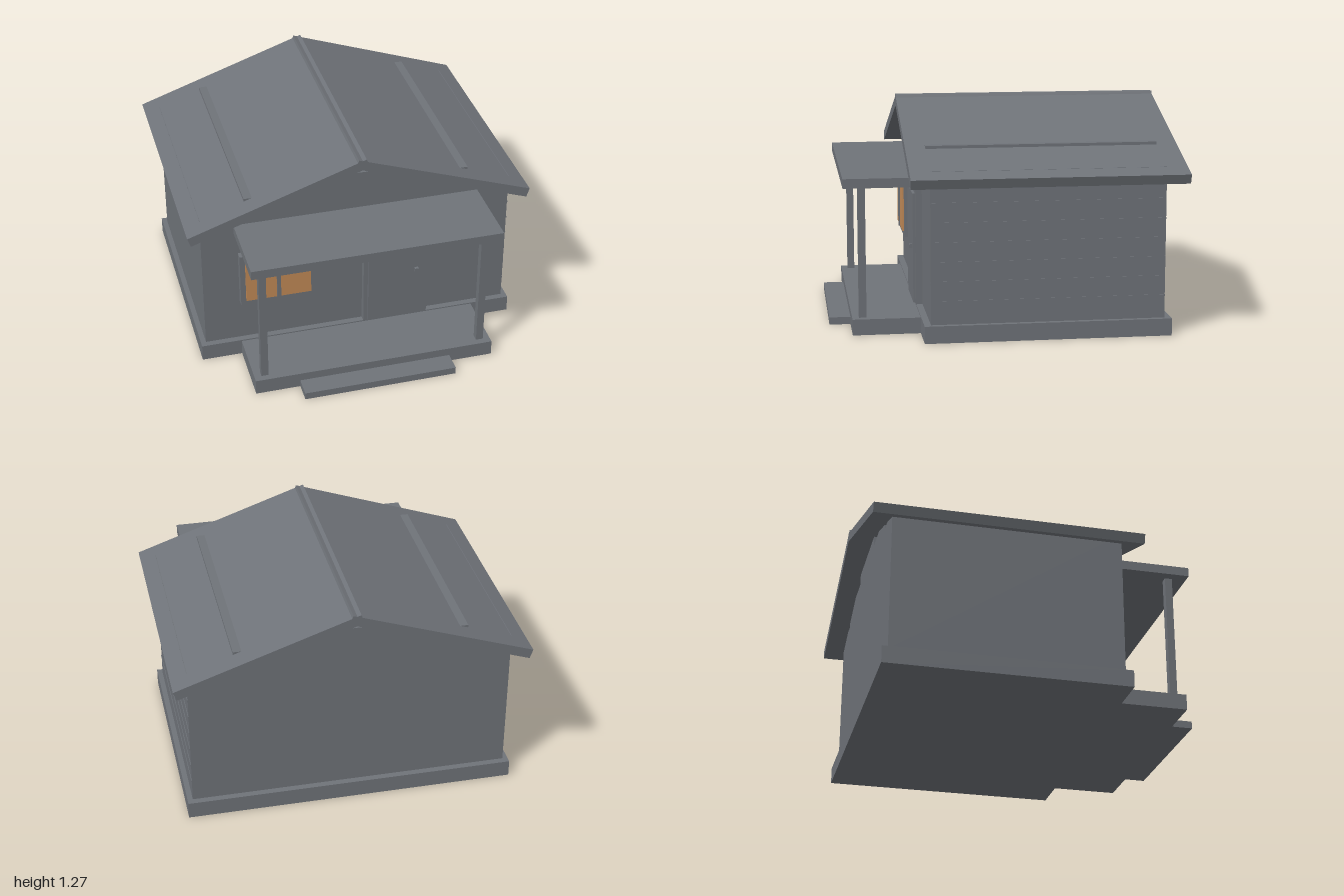
import * as THREE from 'three';

export function createModel() {
  const cabin = new THREE.Group();
  cabin.name = 'cabin';
  const grey = new THREE.MeshStandardMaterial({ color: 0x6f7379 });
  grey.name = 'weathered grey';
  const amber = new THREE.MeshStandardMaterial({ color: 0xc48c58 });
  amber.name = 'amber glass';

  // Box given by its limits on each axis
  function box(name, [x0, x1], [y0, y1], [z0, z1], material = grey) {
    const mesh = new THREE.Mesh(new THREE.BoxGeometry(x1 - x0, y1 - y0, z1 - z0), material);
    mesh.position.set((x0 + x1) / 2, (y0 + y1) / 2, (z0 + z1) / 2);
    mesh.name = name;
    cabin.add(mesh);
    return mesh;
  }

  // Foundation, porch deck and step
  box('foundation', [-0.94, 0.94], [0, 0.097], [-0.9, 0.48]);
  box('porchDeck', [-0.705, 0.705], [0, 0.09], [0.48, 0.86]);
  box('porchStep', [-0.447, 0.447], [0, 0.042], [0.86, 0.98]);

  // Walls and the stepped gable tiers under the roof
  const depth = [-0.863, 0.443];
  box('walls', [-0.91, 0.91], [0.097, 0.947], depth);
  box('lowerGable', [-0.655, 0.655], [0.947, 1.05], depth);
  box('upperGable', [-0.255, 0.255], [1.05, 1.115], depth);

  // Thin siding ledges on the left wall
  for (let i = 0; i < 6; i++) {
    const y = 0.225 + i * 0.109;
    box('sidingLedge', [0.91, 0.913], [y - 0.005, y + 0.005], depth);
  }

  // Roof slabs, which cross slightly at the ridge
  const angle = Math.atan2(0.352, 1.022), thickness = 0.056;
  for (const side of [-1, 1]) {
    const slab = new THREE.Mesh(new THREE.BoxGeometry(1.081, thickness, 1.535), grey);
    slab.position.set(
      side * (0.489 - Math.sin(angle) * thickness / 2),
      1.091 - Math.cos(angle) * thickness / 2,
      -0.2125
    );
    slab.rotation.z = -side * angle;
    slab.name = side > 0 ? 'leftRoof' : 'rightRoof';
    cabin.add(slab);
  }

  // Porch roof and posts
  box('porchRoof', [-0.72, 0.72], [0.832, 0.885], [0.443, 0.905]);
  for (const x of [-0.643, 0.643]) {
    box('porchPost', [x - 0.021, x + 0.021], [0.09, 0.832], [0.78, 0.822]);
  }

  // Door with frame and knob
  box('doorFrame', [0.033, 0.422], [0.097, 0.78], [0.443, 0.48]);
  box('door', [0.058, 0.398], [0.103, 0.74], [0.48, 0.494]);
  box('doorKnob', [0.337, 0.36], [0.415, 0.438], [0.494, 0.512]);

  // Window with frame, two panes and mullion
  box('windowFrame', [-0.7, -0.257], [0.355, 0.692], [0.443, 0.488]);
  box('windowGlass', [-0.67, -0.287], [0.387, 0.66], [0.488, 0.497], amber);
  box('windowMullion', [-0.49, -0.467], [0.387, 0.66], [0.488, 0.507]);

  return cabin;
}
